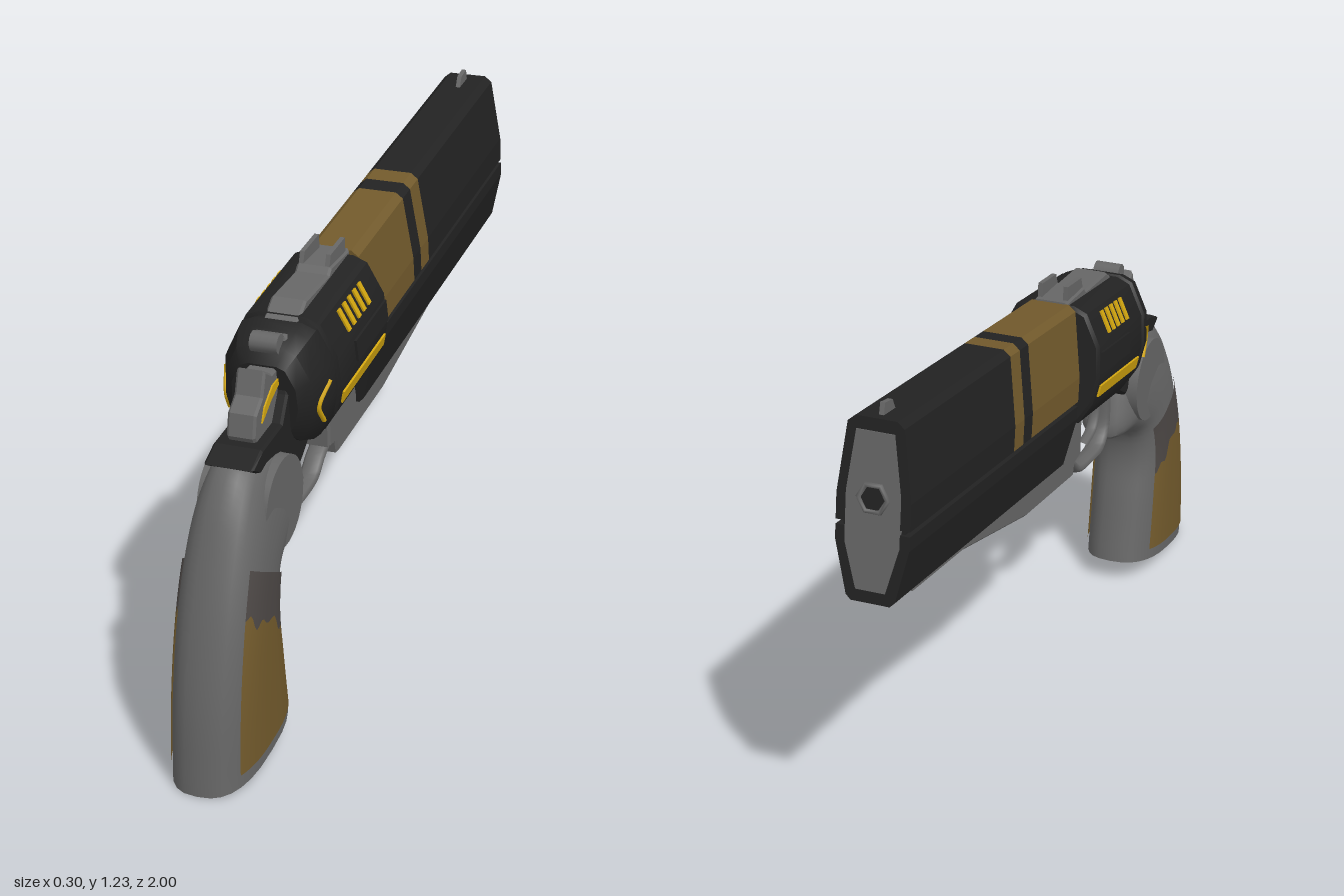
import * as THREE from 'three';
import { toCreasedNormals } from 'three/addons/utils/BufferGeometryUtils.js';

const PITCH = 0.143;
const V = (x, y, z) => new THREE.Vector3(x, y, z);

function makeMaterials() {
  const make = (name, color, side = THREE.FrontSide) => {
    const m = new THREE.MeshStandardMaterial({ color, side });
    m.name = name;
    return m;
  };
  return {
    black: make('blackMetal', 0x222222),
    steel: make('greySteel', 0x666666),
    bronze: make('bronze', 0x725a2c, THREE.DoubleSide),
    worn: make('wornBronze', 0x4c4745, THREE.DoubleSide),
    gold: make('yellow', 0xd2a50f),
  };
}

function add(parent, name, geometry, material) {
  const mesh = new THREE.Mesh(geometry, material);
  mesh.name = name;
  parent.add(mesh);
  return mesh;
}

// Side outline of [z, y] points, extruded across x with a small bevel
function sidePlate(points, half, bevel = 0.006) {
  const shape = new THREE.Shape(points.map(p => new THREE.Vector2(p[0], p[1])));
  const g = new THREE.ExtrudeGeometry(shape, {
    depth: 2 * (half - bevel), bevelEnabled: bevel > 0, bevelSize: bevel,
    bevelThickness: bevel, bevelOffset: -bevel, bevelSegments: 1,
  });
  return g.rotateY(-Math.PI / 2).translate(half - bevel, 0, 0);
}

// Right half of an [x, y] section, mirrored to a full outline
const mirrorSection = half => [...half, ...half.map(([x, y]) => [-x, y]).reverse()];

// Section extruded along the barrel from distance a to distance b
function barrelPiece(section, a, b) {
  const shape = new THREE.Shape(section.map(p => new THREE.Vector2(p[0], p[1])));
  return new THREE.ExtrudeGeometry(shape, { depth: b - a, bevelEnabled: false }).translate(0, 0, -b);
}

// Skin over a list of equal-length closed rings, with end caps
function loft(rings) {
  const n = rings[0].length, pos = [], idx = [];
  rings.forEach(r => r.forEach(p => pos.push(p.x, p.y, p.z)));
  for (let i = 0; i < rings.length - 1; i++) {
    for (let j = 0; j < n; j++) {
      const a = i * n + j, b = i * n + (j + 1) % n;
      idx.push(a, b, a + n, b, b + n, a + n);
    }
  }
  const last = (rings.length - 1) * n;
  for (let j = 1; j < n - 1; j++) idx.push(0, j + 1, j, last, last + j, last + j + 1);
  // Keep faces outward whichever way the rings run
  let volume = 0;
  const at = i => V(pos[3 * i], pos[3 * i + 1], pos[3 * i + 2]);
  for (let i = 0; i < idx.length; i += 3) volume += at(idx[i]).dot(at(idx[i + 1]).cross(at(idx[i + 2])));
  if (volume < 0) idx.reverse();
  const g = new THREE.BufferGeometry();
  g.setAttribute('position', new THREE.Float32BufferAttribute(pos, 3));
  g.setIndex(idx);
  return toCreasedNormals(g, 0.6);
}

const tube = (pts, r, seg = 24) =>
  new THREE.TubeGeometry(new THREE.CatmullRomCurve3(pts), seg, r, 8, false);

function buildBarrel(m) {
  const barrel = new THREE.Group();
  barrel.name = 'barrel';
  barrel.position.set(0, 0.63, 0.05);
  barrel.rotation.x = PITCH;
  const upper = mirrorSection([[0.09, 0.186], [0.09, 0.25], [0.068, 0.42], [0.05, 0.435]]);
  const lower = mirrorSection([[0.048, 0], [0.06, 0.012], [0.09, 0.14], [0.09, 0.174]]);
  const L = 1.056;
  [[0, 0.325, 'bronze'], [0.325, 0.38, 'black'], [0.38, 0.44, 'bronze'], [0.44, L, 'black']]
    .forEach(([a, b, c]) => add(barrel, 'upperBarrelSection', barrelPiece(upper, a, b), m[c]));
  add(barrel, 'lowerBarrel', barrelPiece(lower, 0, L), m.black);
  const core = mirrorSection([[0.075, 0.16], [0.075, 0.2]]);
  add(barrel, 'barrelCore', barrelPiece(core, 0.01, L - 0.01), m.black);
  // Muzzle plate, ring and bore
  const face = mirrorSection([[0.036, 0.03], [0.066, 0.14], [0.066, 0.26], [0.046, 0.405]]);
  add(barrel, 'muzzlePlate', barrelPiece(face, L - 0.01, L + 0.003), m.steel);
  const ring = add(barrel, 'muzzleRing', new THREE.TorusGeometry(0.035, 0.007, 6, 6), m.steel);
  ring.position.set(0, 0.25, -L - 0.003);
  const bore = add(barrel, 'bore', new THREE.CylinderGeometry(0.033, 0.033, 0.006, 6), m.black);
  bore.rotation.x = Math.PI / 2;
  bore.position.set(0, 0.25, -L - 0.002);
  // Front sight
  const sight = [[-0.965, 0.43], [-1.03, 0.43], [-1.025, 0.463], [-0.985, 0.46]];
  add(barrel, 'frontSight', sidePlate(sight, 0.006, 0), m.steel);
  return barrel;
}

function buildCylinder(m) {
  const cyl = new THREE.Group();
  cyl.name = 'cylinder';
  cyl.position.set(0, 0.88, 0.28);
  cyl.rotation.x = PITCH;
  const section = mirrorSection([[0.09, -0.155], [0.125, -0.1], [0.14, -0.03], [0.135, 0.055], [0.095, 0.135], [0.06, 0.15]]);
  // Length position and scale of each ring, with a groove before the rear bulge
  const steps = [[-0.19, 0.95], [-0.18, 1], [0.14, 1], [0.145, 0.94], [0.16, 0.94], [0.165, 0.99], [0.2, 0.95], [0.25, 0.8], [0.28, 0.6]];
  add(cyl, 'cylinderBody', loft(steps.map(([z, s]) => section.map(([x, y]) => V(x * s, y * s, z)))), m.black);
  for (const s of [1, -1]) {
    for (let i = 0; i < 5; i++) {
      const vent = add(cyl, 'yellowVent', new THREE.BoxGeometry(0.008, 0.06, 0.016), m.gold);
      vent.position.set(s * 0.115, 0.097, -0.095 + i * 0.034);
      vent.rotation.z = s * 0.46;
    }
    const strip = add(cyl, 'yellowStrip', new THREE.BoxGeometry(0.009, 0.032, 0.29), m.gold);
    strip.position.set(s * 0.133, -0.066, -0.02);
    strip.rotation.z = -s * 0.21;
    const plate = add(cyl, 'sidePanel', new THREE.BoxGeometry(0.012, 0.055, 0.21), m.black);
    plate.position.set(s * 0.138, 0.012, -0.07);
    plate.rotation.z = s * 0.06;
    add(cyl, 'rearArc', tube([V(s * 0.133, 0.02, 0.19), V(s * 0.119, -0.03, 0.235), V(s * 0.121, -0.08, 0.215)], 0.006, 12), m.gold);
  }
  return cyl;
}

function buildFrame(m) {
  const frame = new THREE.Group();
  frame.name = 'frame';
  // Top strap and core
  add(frame, 'topStrap', sidePlate([[0.07, 0.7], [0.08, 0.85], [0.11, 1.065], [0.235, 1.06], [0.25, 1.045], [0.4, 1.035],
    [0.45, 1.0], [0.52, 0.985], [0.54, 0.93], [0.5, 0.7]], 0.045), m.steel);
  for (const s of [1, -1]) {
    const wing = add(frame, 'rearSight', sidePlate([[0.125, 1.05], [0.13, 1.1], [0.225, 1.088], [0.238, 1.05]], 0.006, 0), m.steel);
    wing.position.x = s * 0.034;
  }
  const peg = add(frame, 'strapPin', new THREE.CylinderGeometry(0.025, 0.025, 0.07, 12), m.steel);
  peg.rotation.z = Math.PI / 2;
  peg.position.set(0, 0.975, 0.54);
  // Rear frame joining the cylinder and grip
  add(frame, 'rearFrame', sidePlate([[0.42, 0.97], [0.53, 0.94], [0.565, 0.86], [0.6, 0.8], [0.72, 0.785], [0.78, 0.755],
    [0.68, 0.7], [0.52, 0.63], [0.47, 0.66], [0.38, 0.73]], 0.062), m.black);
  // Hammer with yellow cheeks
  add(frame, 'hammer', sidePlate([[0.636, 0.945], [0.594, 0.922], [0.52, 0.93], [0.54, 0.78], [0.68, 0.76], [0.705, 0.8],
    [0.695, 0.855], [0.655, 0.885]], 0.036), m.steel);
  add(frame, 'hammerStripe', sidePlate([[0.665, 0.825], [0.65, 0.86], [0.6, 0.895], [0.555, 0.9], [0.56, 0.885], [0.61, 0.862]], 0.04, 0), m.gold);
  // Rail below the barrel
  add(frame, 'underRail', sidePlate([[0.245, 0.72], [0.235, 0.58], [0.19, 0.575], [0.18, 0.542], [-0.15, 0.587], [-0.55, 0.695],
    [-0.84, 0.737], [-0.84, 0.78], [0.05, 0.66], [0.07, 0.74]], 0.04), m.steel);
  // Trigger and guard
  const guard = add(frame, 'triggerGuard', tube([V(0, 0.64, 0.5), V(0, 0.54, 0.49), V(0, 0.497, 0.45), V(0, 0.495, 0.38),
    V(0, 0.512, 0.28), V(0, 0.55, 0.235), V(0, 0.575, 0.19)], 0.013), m.steel);
  guard.scale.x = 2;
  const trigger = add(frame, 'trigger', tube([V(0, 0.7, 0.42), V(0, 0.62, 0.445), V(0, 0.565, 0.42), V(0, 0.545, 0.35)], 0.011), m.steel);
  trigger.scale.x = 1.4;
  return frame;
}

function buildGrip(m) {
  const grip = new THREE.Group();
  grip.name = 'grip';
  // Back and front edges from the base upward, as [half width, y, z]
  const back = new THREE.CatmullRomCurve3([V(0.106, 0.005, 1), V(0.105, 0.22, 0.98), V(0.103, 0.42, 0.935), V(0.099, 0.58, 0.88),
    V(0.093, 0.68, 0.835), V(0.085, 0.745, 0.785), V(0.075, 0.77, 0.73), V(0.06, 0.765, 0.63)]);
  const front = new THREE.CatmullRomCurve3([V(0, 0.07, 0.585), V(0, 0.24, 0.625), V(0, 0.37, 0.653), V(0, 0.45, 0.635),
    V(0, 0.487, 0.565), V(0, 0.505, 0.49), V(0, 0.59, 0.505), V(0, 0.7, 0.55)]);
  const bow = v => Math.sign(v) * Math.abs(v) ** 0.75;
  const point = (s, angle, grow = 0) => {
    const b = back.getPoint(s / 7), f = front.getPoint(s / 7);
    const k = 0.5 - 0.5 * bow(Math.cos(angle));
    return V((b.x + grow) * bow(Math.sin(angle)), b.y + (f.y - b.y) * k, b.z + (f.z - b.z) * k);
  };
  const rings = [];
  for (let i = 0; i <= 28; i++) {
    rings.push(Array.from({ length: 28 }, (_, j) => point(i / 4, j / 28 * Math.PI * 2)));
  }
  add(grip, 'gripBody', loft(rings), m.steel);
  // Round boss at the top of the grip
  const boss = add(grip, 'gripBoss', new THREE.CylinderGeometry(0.115, 0.115, 0.176, 32), m.steel);
  boss.rotation.z = Math.PI / 2;
  boss.position.set(0, 0.625, 0.65);
  // Curved side panels, bronze below a ragged edge and worn above it
  const edge = u => 2.1 - 0.6 * u * u + 0.13 * Math.sin(u * 19) * Math.sin(u * 7);
  const panel = (side, low, high) => {
    const g = new THREE.PlaneGeometry(1, 1, 20, 12), p = g.attributes.position;
    for (let i = 0; i < p.count; i++) {
      const u = p.getX(i) + 0.5, v = p.getY(i) + 0.5;
      const q = point(low(u) + (high(u) - low(u)) * v, side * (0.84 + u * 1.38), 0.005);
      p.setXYZ(i, q.x, q.y, q.z);
    }
    // Mirrored side turns its faces outward again
    if (side > 0) g.index.array.reverse();
    g.computeVertexNormals();
    const n = g.attributes.normal;
    if (n.getX(100) * side < 0) {
      g.index.array.reverse();
      g.computeVertexNormals();
    }
    return g;
  };
  for (const side of [1, -1]) {
    add(grip, 'gripPanel', panel(side, () => 0.17, edge), m.bronze);
    add(grip, 'wornPanel', panel(side, edge, () => 2.85), m.worn);
  }
  return grip;
}

export function createModel() {
  const m = makeMaterials();
  const model = new THREE.Group();
  model.name = 'revolver';
  model.add(buildBarrel(m), buildCylinder(m), buildFrame(m), buildGrip(m));
  // Slight turn so the barrel swings toward the right side
  model.rotation.y = 0.05;
  model.position.x = -0.013;
  const root = new THREE.Group();
  root.name = 'model';
  root.add(model);
  return root;
}
